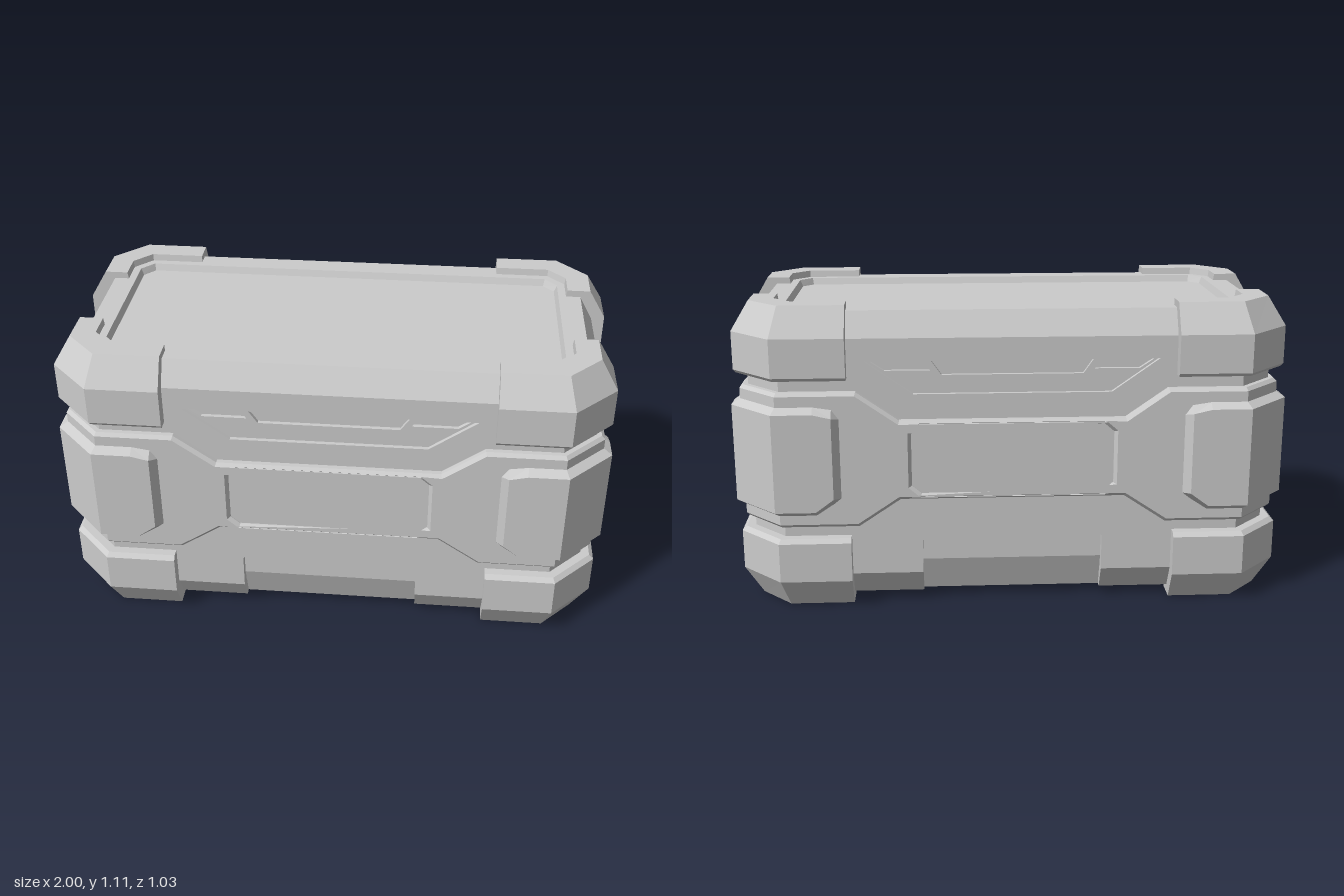
import * as THREE from 'three';

const material = new THREE.MeshStandardMaterial({ color: 0xcccccc, flatShading: true });
// Half depth, half width and chamfer corners of the octagonal plan
const FRONT = 0.485, SIDE = 0.97, CX = 0.83, CZ = 0.34;

function add(parent, geometry, name) {
  const mesh = new THREE.Mesh(geometry, material);
  mesh.name = name;
  parent.add(mesh);
  return mesh;
}

// Skin a row of equal-length closed cross-sections and cap both ends, facing outward
function loft(sections) {
  const tris = [];
  const n = sections[0].length;
  for (let i = 0; i < sections.length - 1; i++) {
    for (let j = 0; j < n; j++) {
      const k = (j + 1) % n, A = sections[i], B = sections[i + 1];
      tris.push([A[j], A[k], B[k]], [A[j], B[k], B[j]]);
    }
  }
  const first = sections[0], last = sections[sections.length - 1];
  for (let j = 1; j < n - 1; j++) {
    tris.push([first[0], first[j + 1], first[j]], [last[0], last[j], last[j + 1]]);
  }
  let volume = 0;
  for (const [a, b, c] of tris) {
    volume += a[0] * (b[1] * c[2] - b[2] * c[1]) + a[1] * (b[2] * c[0] - b[0] * c[2])
      + a[2] * (b[0] * c[1] - b[1] * c[0]);
  }
  const pos = tris.flatMap(([a, b, c]) => (volume < 0 ? [a, c, b] : [a, b, c]).flat());
  const g = new THREE.BufferGeometry();
  g.setAttribute('position', new THREE.Float32BufferAttribute(pos, 3));
  g.computeVertexNormals();
  return g;
}

// Octagonal ring at height y, offset outward by d
function ring(d, y) {
  const q = [[CX + 0.41 * d, FRONT + d], [SIDE + d, CZ + 0.41 * d]];
  const pts = [...q, ...q.map(([x, z]) => [x, -z]).reverse(),
    ...q.map(([x, z]) => [-x, -z]), ...q.map(([x, z]) => [-x, z]).reverse()];
  return pts.map(([x, z]) => [x, y, z]);
}

// Strip wrapped around all four corners; each station is [x on front, z on side, [[d, y]...]]
function corners(parent, name, stations) {
  const sec = stations[stations.length - 1][2];
  const path = [
    ...stations.map(([x, , s]) => s.map(([d, y]) => [x, y, FRONT + d])),
    sec.map(([d, y]) => [CX + 0.41 * d, y, FRONT + d]),
    sec.map(([d, y]) => [SIDE + d, y, CZ + 0.41 * d]),
    ...stations.map(([, z, s]) => s.map(([d, y]) => [SIDE + d, y, z])).reverse(),
  ];
  const group = new THREE.Group();
  group.name = name + 's';
  parent.add(group);
  for (const sx of [1, -1]) for (const sz of [1, -1]) {
    add(group, loft(path.map(s => s.map(([x, y, z]) => [x * sx, y, z * sz]))), name);
  }
}

// Right half of an outline (first to last) completed by mirroring
const mirror = half => [...half, ...half.map(([x, y]) => [-x, y]).reverse()];
const vectors = pts => pts.map(([x, y]) => new THREE.Vector2(x, y));

// Upright plate between two depths, with optional holes and bevelled edges
function plate(parent, name, outline, holes, z0, z1, bevel = 0) {
  const shape = new THREE.Shape(vectors(outline));
  shape.holes = holes.map(h => new THREE.Path(vectors(h)));
  const g = new THREE.ExtrudeGeometry(shape, {
    depth: z1 - z0 - bevel, bevelEnabled: bevel > 0, bevelSegments: 1,
    bevelThickness: bevel, bevelSize: bevel, bevelOffset: -bevel,
  });
  g.translate(0, 0, z0);
  add(parent, g, name);
}

// Wall panels for one face of the case, in local coordinates with z outward
function wall(name, dist, angle, o) {
  const group = new THREE.Group();
  group.name = name;
  group.rotation.y = angle;
  const { end, bendOut, bendIn, grip, slots, notch, label } = o;

  // Lid wall with recessed grip
  plate(group, 'lidPanel', mirror([[end, 0.68], [end, 0.99]]), [grip], dist - 0.07, dist - 0.03);
  plate(group, 'gripInset', grip, slots, dist - 0.07, dist - 0.045);

  // Raised waist band, narrowing toward its middle
  plate(group, 'waistBand', mirror([[bendIn, 0.41], [bendOut, 0.31], [end + 0.03, 0.31],
    [end + 0.03, 0.805], [bendOut, 0.805], [bendIn, 0.70]]), label ? [label] : [],
  dist - 0.07, dist, 0.012);
  if (label) plate(group, 'labelRecess', label, [], dist - 0.07, dist - 0.016);

  // Lower wall with foot notch and sloping skirt beside it
  const [nx, ny, tx, ty] = notch;
  plate(group, 'lowerPanel', mirror([[tx, ty], [nx, ny], [nx, 0.12], [end, 0.12], [end, 0.42]]),
    [], dist - 0.07, dist - 0.03);
  for (const s of [1, -1]) {
    const cut = u => [[-0.12, 0.03], [-0.08, 0.03], [-0.03, 0.12], [-0.07, 0.12]]
      .map(([d, y]) => [s * u, y, dist + d]);
    add(group, loft([cut(nx), cut(end)]), 'skirt');
  }
  return group;
}

export function createModel() {
  const model = new THREE.Group();

  // Core with chamfered rims and a sunken top
  add(model, loft([[-0.105, 0.03], [-0.06, 0.16], [-0.06, 0.985], [-0.03, 0.985], [-0.03, 0.99],
    [-0.08, 1.08], [-0.162, 1.08], [-0.172, 1.055]].map(([d, y]) => ring(d, y))), 'core');

  // Front, back and end walls
  const longWall = {
    end: 0.6, bendOut: 0.55, bendIn: 0.4, notch: [0.325, 0.25, 0.23, 0.33],
    grip: mirror([[0.35, 0.79], [0.52, 0.91]]),
    slots: [
      mirror([[0.25, 0.855], [0.285, 0.905]]),
      ...[1, -1].map(s => [[0.31, 0.905], [0.5, 0.905], [0.45, 0.872], [0.29, 0.872]]
        .map(([x, y]) => [s * x, y])),
    ],
    label: mirror([[0.325, 0.43], [0.36, 0.46], [0.36, 0.65], [0.325, 0.68]]),
  };
  const endWall = {
    end: 0.22, bendOut: 0.215, bendIn: 0.08, notch: [0.145, 0.19, 0.09, 0.335],
    grip: mirror([[0.11, 0.80], [0.165, 0.91]]),
    slots: [mirror([[0.105, 0.81], [0.14, 0.895]])],
  };
  model.add(wall('frontWall', FRONT, 0, longWall), wall('backWall', FRONT, Math.PI, longWall));
  model.add(wall('leftWall', SIDE, Math.PI / 2, endWall), wall('rightWall', SIDE, -Math.PI / 2, endWall));

  // Recessed corner walls and the band that wraps them
  corners(model, 'upperCorner', [[0.58, 0.2,
    [[-0.08, 0.75], [-0.03, 0.75], [-0.03, 0.99], [-0.08, 0.99]]]]);
  corners(model, 'lowerCorner', [[0.58, 0.2,
    [[-0.12, 0.03], [-0.08, 0.03], [-0.03, 0.12], [-0.03, 0.35], [-0.12, 0.35]]]]);
  corners(model, 'bandCorner', [[0.58, 0.22,
    [[-0.07, 0.31], [-0.012, 0.31], [0, 0.322], [0, 0.793], [-0.012, 0.805], [-0.07, 0.805]]]]);

  // Heavy top and bottom corner guards
  corners(model, 'topGuard', [[0.58, 0.185, [[-0.06, 0.85], [0.008, 0.85], [0.018, 0.862],
    [0.018, 1.0], [-0.045, 1.105], [-0.13, 1.105], [-0.138, 1.05]]]]);
  corners(model, 'bottomGuard', [[0.58, 0.185, [[-0.06, 0.27], [0.002, 0.27], [0.018, 0.255],
    [0.018, 0.11], [-0.045, 0], [-0.13, 0], [-0.138, 0.05]]]]);

  // Middle corner guards with bevelled, clipped ends
  const pad = (y0, y1, d, e) => [[-0.02, y0], [0, y0], [d, y0 + e], [d, y1 - e], [0, y1], [-0.02, y1]];
  corners(model, 'middleGuard', [
    [0.61, 0.19, pad(0.42, 0.72, 0, 0.01)],
    [0.635, 0.215, pad(0.40, 0.745, 0.03, 0.025)],
    [0.70, 0.27, pad(0.357, 0.755, 0.03, 0.02)],
  ]);

  return model;
}
